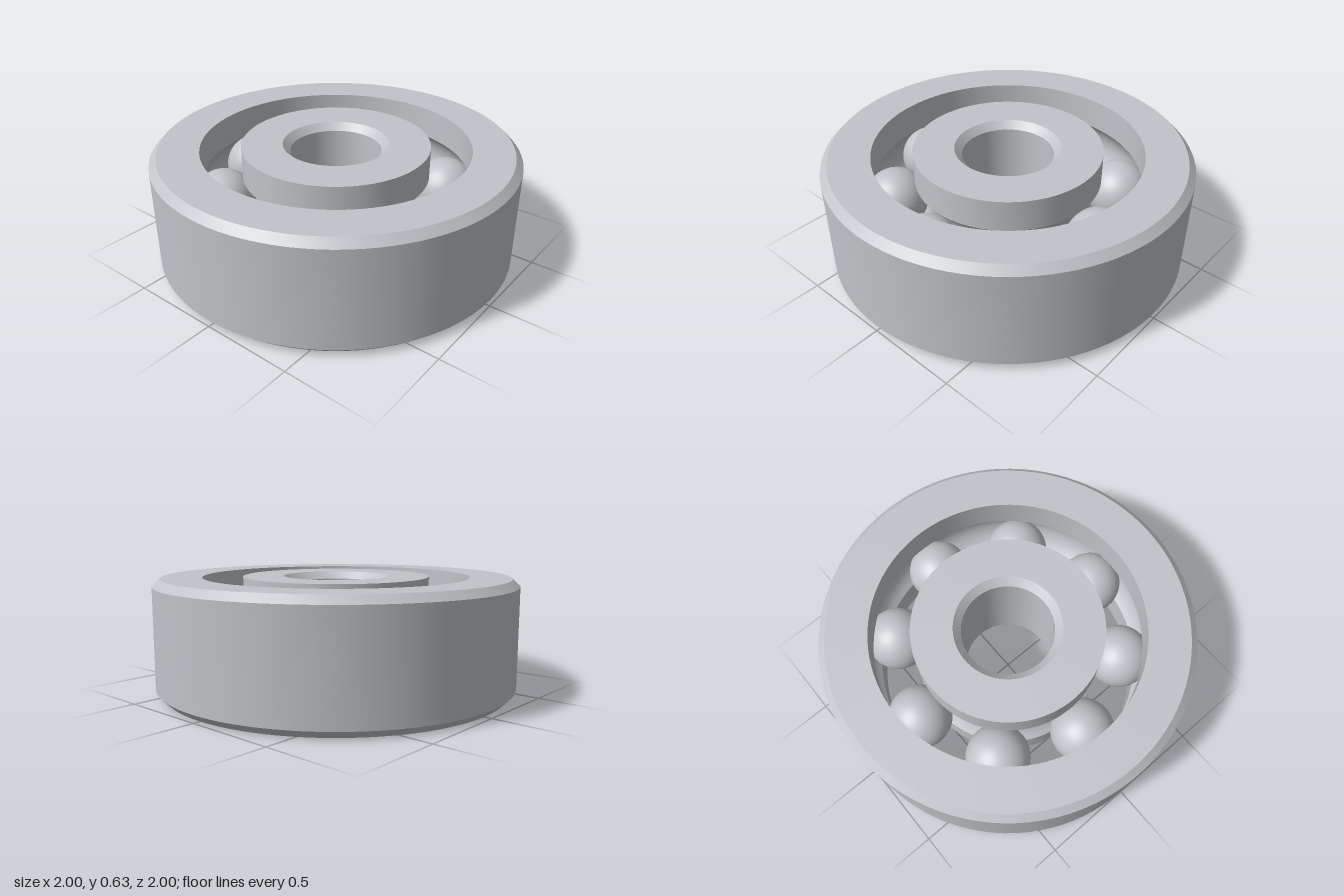
import * as THREE from 'three';
import { toCreasedNormals } from 'three/addons/utils/BufferGeometryUtils.js';

const HEIGHT = 0.63, MID = HEIGHT / 2, CHAMFER = 0.04;
const OUTER_R = 1, OUTER_INNER_R = 0.735;
const INNER_R = 0.515, BORE_R = 0.25;
const BALL_R = 0.175, BALL_COUNT = 8, PITCH_R = (OUTER_INNER_R + INNER_R) / 2;
const GROOVE_R = 0.178;

// Arc of the ball groove in a ring's profile, bottom to top; side is +1 or -1 from the pitch circle
function groove(side, wallR, steps = 10) {
  const half = Math.acos(Math.abs(wallR - PITCH_R) / GROOVE_R);
  return Array.from({ length: steps + 1 }, (_, i) => {
    const a = -half + (2 * half * i) / steps;
    return [PITCH_R + side * GROOVE_R * Math.cos(a), MID + GROOVE_R * Math.sin(a)];
  });
}

// Closed counter-clockwise profile turned about the vertical axis
function ring(name, profile, material) {
  const points = [...profile, profile[0]].map(([r, y]) => new THREE.Vector2(r, y));
  const geometry = toCreasedNormals(new THREE.LatheGeometry(points, 96), Math.PI / 6);
  const mesh = new THREE.Mesh(geometry, material);
  mesh.name = name;
  return mesh;
}

export function createModel() {
  const model = new THREE.Group();
  model.name = 'ballBearing';
  const steel = new THREE.MeshStandardMaterial({ color: 0xc0c3c8 });
  steel.name = 'steel';

  // Outer ring: chamfered outside, grooved inside
  model.add(ring('outerRing', [
    [OUTER_INNER_R, 0], [OUTER_R - CHAMFER, 0], [OUTER_R, CHAMFER],
    [OUTER_R, HEIGHT - CHAMFER], [OUTER_R - CHAMFER, HEIGHT], [OUTER_INNER_R, HEIGHT],
    ...groove(1, OUTER_INNER_R).reverse(),
  ], steel));

  // Inner ring: grooved outside, chamfered bore
  model.add(ring('innerRing', [
    [BORE_R + CHAMFER, 0], [INNER_R, 0],
    ...groove(-1, INNER_R),
    [INNER_R, HEIGHT], [BORE_R + CHAMFER, HEIGHT],
    [BORE_R, HEIGHT - CHAMFER], [BORE_R, CHAMFER],
  ], steel));

  // Balls spaced evenly on the pitch circle
  const balls = new THREE.Group();
  balls.name = 'balls';
  const ballGeometry = new THREE.SphereGeometry(BALL_R, 40, 24);
  for (let i = 0; i < BALL_COUNT; i++) {
    const a = (i / BALL_COUNT) * Math.PI * 2;
    const ball = new THREE.Mesh(ballGeometry, steel);
    ball.name = 'ball';
    ball.position.set(PITCH_R * Math.cos(a), MID, PITCH_R * Math.sin(a));
    balls.add(ball);
  }
  model.add(balls);
  return model;
}
